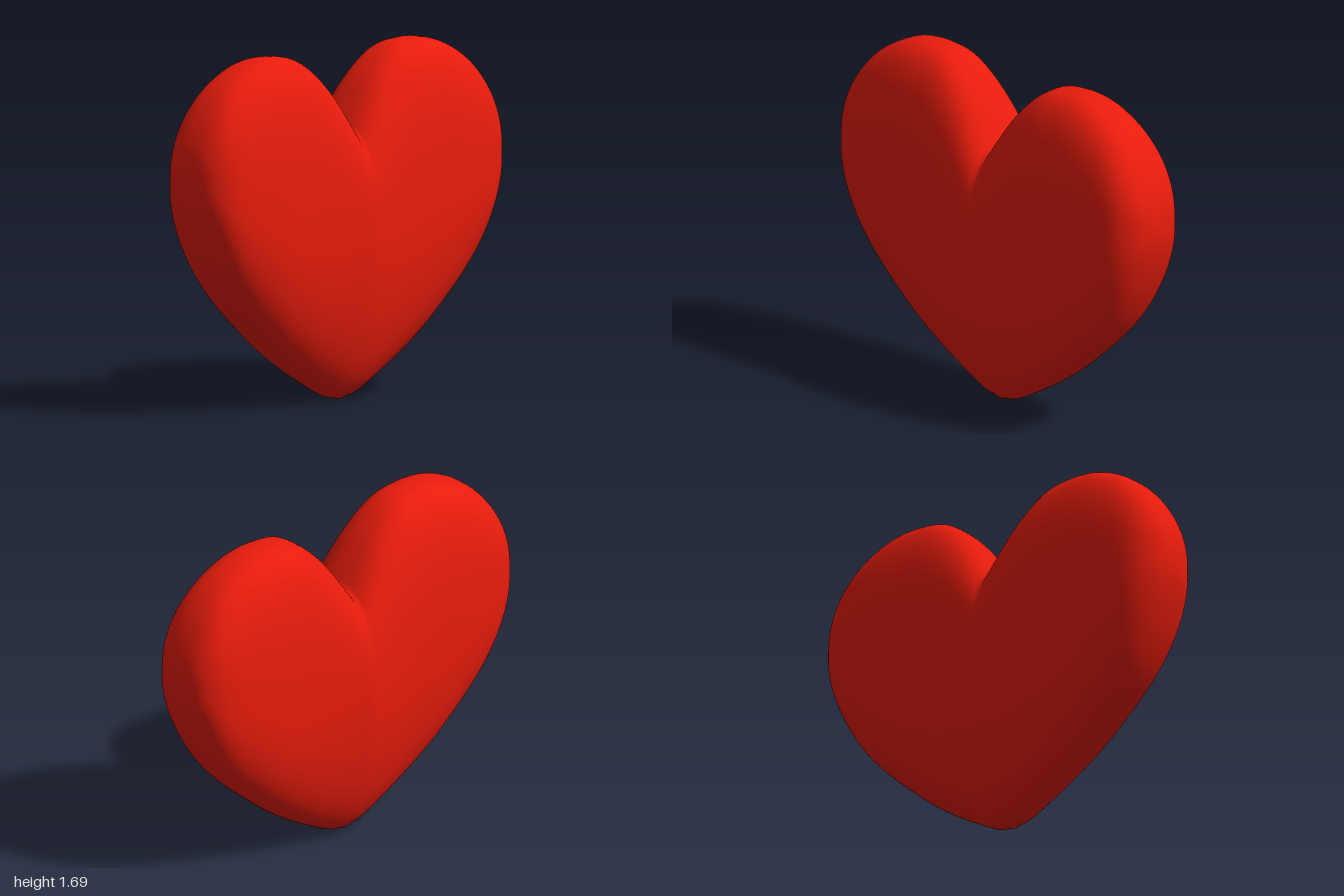
import * as THREE from 'three';

// Stations from the middle to the outer tip of a lobe: top y, bottom y, half depth.
// Station k lies at x = sin(k / 10 * 90 degrees).
const stations = [
  [1.3, -0.02, 0.275], [1.53, 0.065, 0.26], [1.66, 0.155, 0.25], [1.69, 0.258, 0.246],
  [1.68, 0.373, 0.243], [1.635, 0.485, 0.236], [1.565, 0.605, 0.226], [1.47, 0.745, 0.205],
  [1.36, 0.885, 0.163], [1.25, 1.01, 0.1], [1.13, 1.13, 0],
];
const profile = new THREE.CatmullRomCurve3(
  stations.map((s) => new THREE.Vector3(...s)), false, 'catmullrom', 0.5);

const signedPower = (v, p) => Math.sign(v) * Math.abs(v) ** p;

// Point on the vertical cross-section at u (-1..1 across the width), angle a
function sectionPoint(u, a) {
  const t = Math.abs(u);
  const x = Math.sin(u * Math.PI / 2);
  const p = profile.getPoint(t);
  const top = p.x;
  const bottom = p.y + 0.025 * Math.exp(-((x / 0.05) ** 2)); // rounded lower tip
  const middle = THREE.MathUtils.lerp(0.83, 1.13, x * x);
  const s = Math.sin(a), c = Math.cos(a);
  // fuller rounding at the top than at the bottom
  const n = s > 0 ? 2.7 : 2 + 0.4 * Math.min(1, Math.abs(x) * 2);
  const y = middle + (s > 0 ? top - middle : middle - bottom) * signedPower(s, 2 / n);
  return [x, y, p.z * signedPower(c, 2 / n)];
}

// Closed skin over the cross-sections, smooth all round
function heartGeometry(across = 160, around = 96) {
  const positions = [], index = [];
  for (let i = 0; i <= across; i++) {
    for (let j = 0; j < around; j++) {
      positions.push(...sectionPoint(i / across * 2 - 1, j / around * Math.PI * 2));
      if (i === across) continue;
      const a = i * around + j, b = i * around + (j + 1) % around;
      index.push(a, a + around, b + around, a, b + around, b);
    }
  }
  const geometry = new THREE.BufferGeometry();
  geometry.setAttribute('position', new THREE.Float32BufferAttribute(positions, 3));
  geometry.setIndex(index);
  geometry.computeVertexNormals();
  // end points collapse to a tip, so their normals point straight out
  const normal = geometry.attributes.normal;
  for (let j = 0; j < around; j++) {
    normal.setXYZ(j, -1, 0, 0);
    normal.setXYZ(across * around + j, 1, 0, 0);
  }
  return geometry;
}

export function createModel() {
  const group = new THREE.Group();
  group.name = 'heart';
  const body = new THREE.Mesh(
    heartGeometry(), new THREE.MeshStandardMaterial({ color: 0xe81c0c }));
  body.name = 'heartBody';
  group.add(body);
  return group;
}
